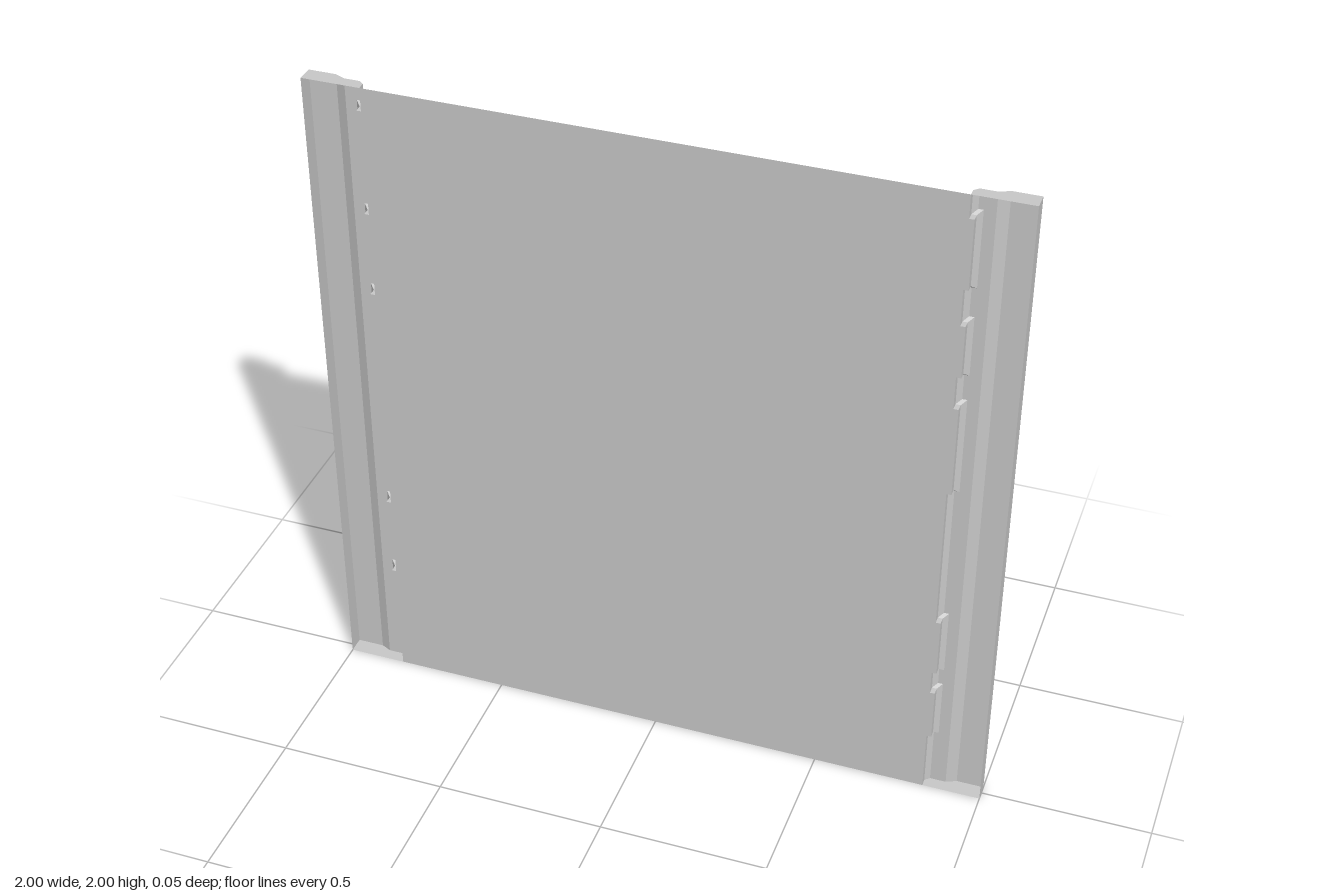
import * as THREE from 'three';

const FRONT = 0.025, LIP = 0.002, LEDGE = -0.011, BACK = -0.025;
const HEIGHT = 2, WIDE = 0.829, NARROW = 0.843, BEVEL = 0.014;

// Heights where the inner edge steps between wide and narrow
const STEPS = [0.195, 0.36, 0.435, 0.62, 1.07, 1.35, 1.45, 1.61, 1.72, 1.93];

// Stepped inner edge from bottom to top, optionally inset for the bevel
function notchedLine(inset) {
  const line = [[WIDE + inset, 0]];
  STEPS.forEach((y, i) => {
    const wideBelow = i % 2 === 0;
    const stepY = y + (wideBelow ? -inset : inset) * 0.8;
    const below = wideBelow ? WIDE : NARROW;
    const above = wideBelow ? NARROW : WIDE;
    line.push([below + inset, stepY], [above + inset, stepY]);
  });
  line.push([WIDE + inset, HEIGHT]);
  return line;
}

const at = (line, z) => line.map(([x, y]) => [x, y, z]);

// Flat-shaded surface through successive vertical sections
function skin(sections) {
  const pos = [];
  for (let s = 0; s + 1 < sections.length; s++) {
    const a = sections[s], b = sections[s + 1];
    for (let i = 0; i + 1 < a.length; i++) {
      pos.push(...a[i], ...a[i + 1], ...b[i + 1], ...a[i], ...b[i + 1], ...b[i]);
    }
  }
  const geo = new THREE.BufferGeometry();
  geo.setAttribute('position', new THREE.Float32BufferAttribute(pos, 3));
  geo.computeVertexNormals();
  return geo;
}

function flatShape(points) {
  return new THREE.ShapeGeometry(new THREE.Shape(points.map(([x, y]) => new THREE.Vector2(x, y))));
}

export function createModel() {
  const model = new THREE.Group();
  model.name = 'wallPanel';
  const grey = new THREE.MeshStandardMaterial({ color: 0xc8c8c8, side: THREE.DoubleSide });
  grey.name = 'lightGrey';

  const add = (parent, name, geo) => {
    const mesh = new THREE.Mesh(geo, grey);
    mesh.name = name;
    parent.add(mesh);
    return mesh;
  };

  const outer = notchedLine(0), inner = notchedLine(BEVEL);

  // Thin centre sheet, cut to the stepped edges
  const mirrored = outer.map(([x, y]) => [-x, y]).reverse();
  add(model, 'centreSheet', flatShape([...outer, ...mirrored])).position.z = FRONT;

  // Hollow side trims, open at the front
  for (const side of [1, -1]) {
    const trim = new THREE.Group();
    trim.name = side > 0 ? 'leftTrim' : 'rightTrim';
    trim.scale.x = side;
    model.add(trim);

    // Stepped wall, bevel and low ledge
    const ledgeEnd = inner.map(([, y]) => [0.89, y]);
    add(trim, 'notchedEdge', skin([at(outer, FRONT), at(outer, LIP), at(inner, LEDGE), at(ledgeEnd, LEDGE)]));

    // Slope, raised rail and outer wall
    const rail = [[0.89, LEDGE], [0.92, BACK], [1, BACK], [1, FRONT]];
    add(trim, 'rail', skin(rail.map(([x, z]) => [[x, 0, z], [x, HEIGHT, z]])));

    // End caps
    const profile = [[WIDE, FRONT], [WIDE, LIP], [WIDE + BEVEL, LEDGE], ...rail];
    const top = flatShape(profile.map(([x, z]) => [x, -z])).rotateX(-Math.PI / 2);
    add(trim, 'topCap', top).position.y = HEIGHT;
    add(trim, 'bottomCap', flatShape(profile).rotateX(Math.PI / 2));
  }
  return model;
}
